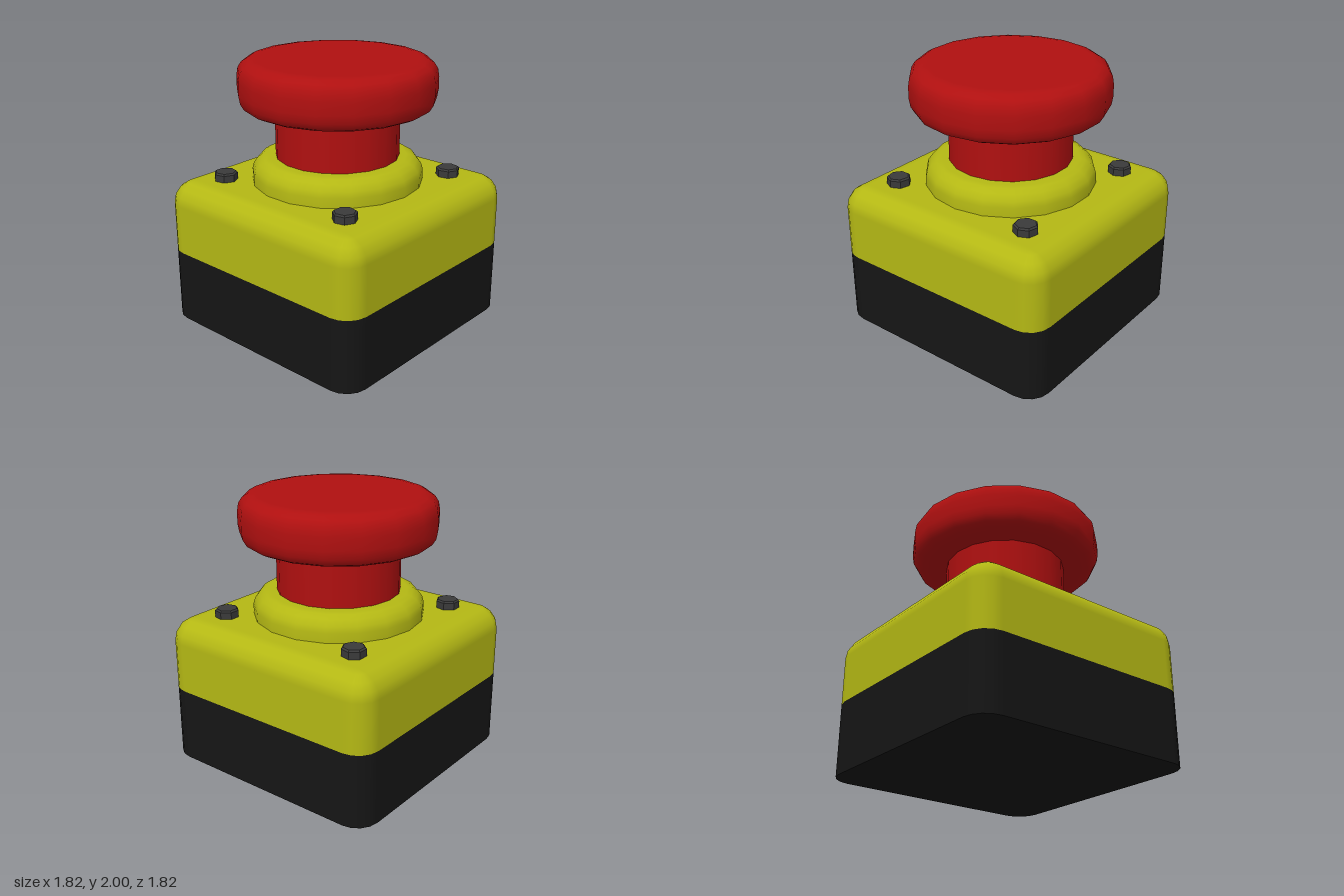
import * as THREE from 'three';

const HALF = 0.91, R = 0.17, STEPS = 4;

const paint = (color, extra = {}) => new THREE.MeshStandardMaterial({ color, ...extra });

// Rounded-square loft: each ring is [y of the arc centre, tilt of the rounding]
function roundedSquare(rings, capTop) {
  const pos = [], nor = [], idx = [];
  const n = 4 * (STEPS + 1), c = HALF - R;
  for (const [y, t] of rings) {
    for (let q = 0; q < 4; q++) {
      const mid = (q + 0.5) * Math.PI / 2;
      for (let s = 0; s <= STEPS; s++) {
        const a = (q + s / STEPS) * Math.PI / 2;
        const nx = Math.cos(a) * Math.cos(t), ny = Math.sin(t), nz = Math.sin(a) * Math.cos(t);
        pos.push(Math.sign(Math.cos(mid)) * c + R * nx, y + R * ny, Math.sign(Math.sin(mid)) * c + R * nz);
        nor.push(nx, ny, nz);
      }
    }
  }
  for (let r = 0; r < rings.length - 1; r++) {
    for (let i = 0; i < n; i++) {
      const a = r * n + i, b = r * n + (i + 1) % n;
      idx.push(a, a + n, b, b, a + n, b + n);
    }
  }
  // Flat cap closing the top or the bottom ring
  const src = capTop ? (rings.length - 1) * n : 0;
  const first = pos.length / 3, up = capTop ? 1 : -1;
  for (let i = 0; i < n; i++) {
    const k = (src + i) * 3;
    pos.push(pos[k], pos[k + 1], pos[k + 2]);
    nor.push(0, up, 0);
  }
  for (let i = 1; i < n - 1; i++) {
    if (capTop) idx.push(first, first + i + 1, first + i);
    else idx.push(first, first + i, first + i + 1);
  }
  const g = new THREE.BufferGeometry();
  g.setAttribute('position', new THREE.Float32BufferAttribute(pos, 3));
  g.setAttribute('normal', new THREE.Float32BufferAttribute(nor, 3));
  g.setIndex(idx);
  return g;
}

// 18-sided turned part with a corner on the x axis
function turned(points) {
  return new THREE.LatheGeometry(points.map(([r, y]) => new THREE.Vector2(r, y)), 18, Math.PI / 2);
}

export function createModel() {
  const model = new THREE.Group();
  model.name = 'emergencyStopButton';
  const add = (name, geometry, material, parent = model) => {
    const mesh = new THREE.Mesh(geometry, material);
    mesh.name = name;
    parent.add(mesh);
    return mesh;
  };
  const black = paint(0x151515), yellow = paint(0xb4b814);
  const red = paint(0xb01010), grey = paint(0x3a3a3a, { flatShading: true });

  // Housing: black lower half, yellow lid with a rounded top edge
  add('base', roundedSquare([[0, 0], [0.55, 0]], false), black);
  const lidRings = [[0.55, 0]];
  for (let i = 0; i <= STEPS; i++) lidRings.push([1.09 - R, i / STEPS * Math.PI / 2]);
  add('lid', roundedSquare(lidRings, true), yellow);

  // Raised collar around the stem
  add('collar', turned([
    [0.633, 1.08], [0.633, 1.16], [0.62, 1.205], [0.59, 1.245], [0.55, 1.27], [0.51, 1.278], [0.4, 1.278],
  ]), yellow);

  // Stem and mushroom-shaped push button
  add('stem', turned([[0.457, 1.26], [0.457, 1.65]]), red);
  add('pushButton', turned([
    [0, 1.64], [0.6, 1.64], [0.645, 1.643], [0.69, 1.665], [0.717, 1.71], [0.727, 1.77],
    [0.727, 1.86], [0.717, 1.92], [0.69, 1.963], [0.645, 1.99], [0.59, 2.0], [0, 2.0],
  ]), red);

  // Four seven-sided screws with a bevelled head
  const screws = new THREE.Group();
  screws.name = 'screws';
  model.add(screws);
  const shank = new THREE.CylinderGeometry(0.088, 0.088, 0.06, 7, 1, false, Math.PI / 2);
  const bevel = new THREE.CylinderGeometry(0.076, 0.088, 0.012, 7, 1, false, Math.PI / 2);
  for (const x of [-0.585, 0.585]) {
    for (const z of [-0.585, 0.585]) {
      add('screwHead', shank, grey, screws).position.set(x, 1.112, z);
      add('screwBevel', bevel, grey, screws).position.set(x, 1.148, z);
    }
  }
  return model;
}
